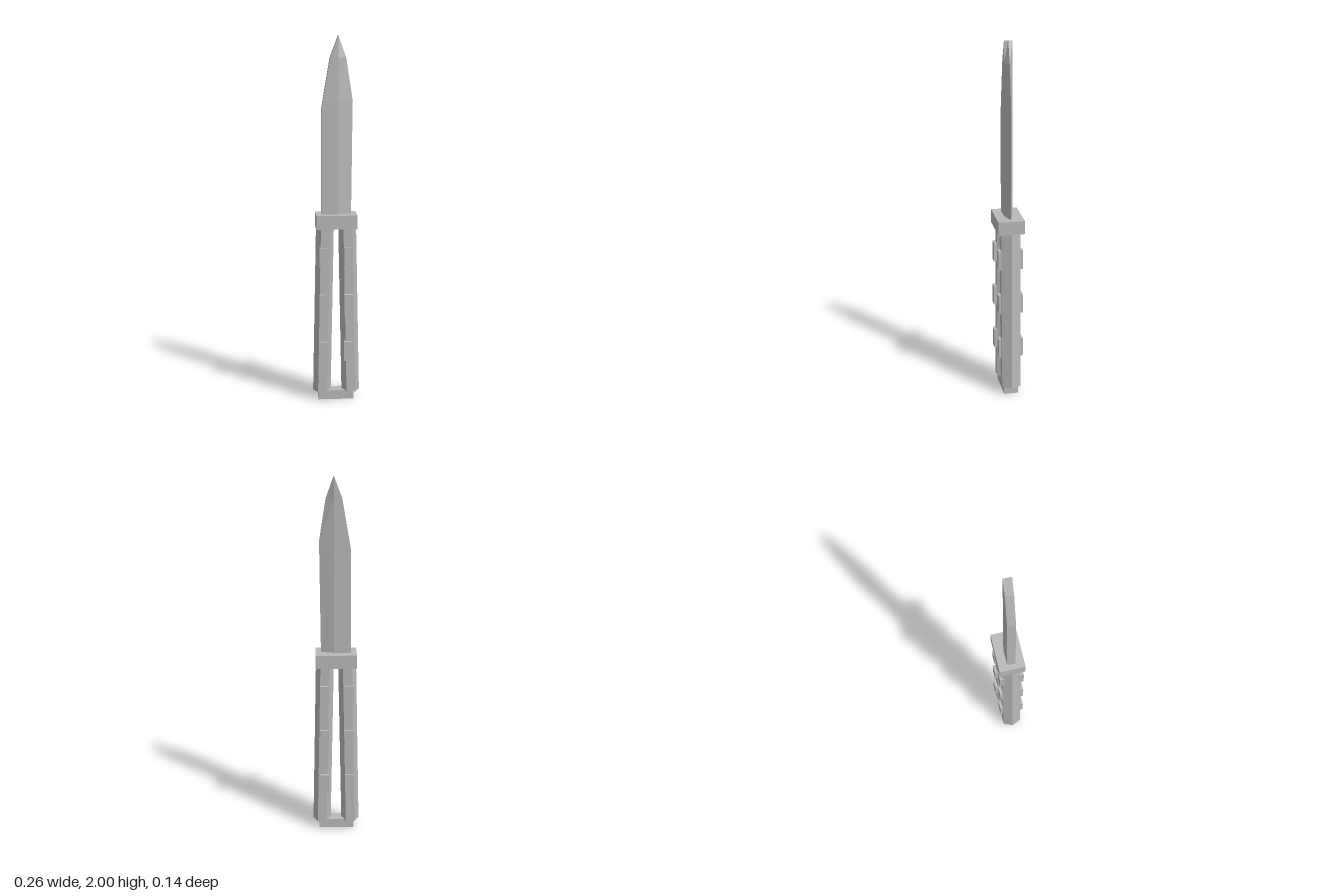
import * as THREE from 'three';

export function createModel() {
  const group = new THREE.Group();
  group.name = 'foldingKnife';
  const steel = new THREE.MeshStandardMaterial({ color: 0xb8b8b8, flatShading: true });
  steel.name = 'steel';

  const add = (name, geometry, x = 0, y = 0, z = 0) => {
    const mesh = new THREE.Mesh(geometry, steel);
    mesh.name = name;
    mesh.position.set(x, y, z);
    group.add(mesh);
    return mesh;
  };

  // Blade: flat body with a bevel running to the cutting edge
  const ridge = 0.012, half = 0.023;
  const levels = [ // height, spine x, edge x
    [1.03, -0.08, 0.082], [1.6, -0.08, 0.089], [1.65, -0.072, 0.09],
    [1.88, -0.033, 0.055], [2, ridge, ridge],
  ];
  const rings = levels.map(([y, back, edge]) => [
    [back, y, -half], [back, y, half], [ridge, y, half], [edge, y, 0], [ridge, y, -half],
  ]);
  const points = [];
  for (let k = 0; k < rings.length - 1; k++) {
    for (let i = 0; i < 5; i++) {
      const j = (i + 1) % 5;
      const [a, b, c, d] = [rings[k][i], rings[k][j], rings[k + 1][j], rings[k + 1][i]];
      points.push(...a, ...b, ...c, ...a, ...c, ...d);
    }
  }
  const blade = new THREE.BufferGeometry();
  blade.setAttribute('position', new THREE.Float32BufferAttribute(points, 3));
  blade.computeVertexNormals();
  add('blade', blade);

  // Guard and end latch
  add('guard', new THREE.BoxGeometry(0.223, 0.075, 0.144), 0, 1.0, 0);
  add('latch', new THREE.BoxGeometry(0.195, 0.05, 0.08), -0.002, 0.025, 0);

  for (const side of [-1, 1]) {
    const label = side > 0 ? 'left' : 'right';

    // Hexagonal handle, sheared so the pair spreads towards the bottom
    const bar = new THREE.CylinderGeometry(0.049, 0.049, 0.92, 6);
    bar.rotateY(Math.PI / 6);
    bar.scale(1, 1, 1.23);
    const p = bar.attributes.position;
    for (let i = 0; i < p.count; i++) {
      p.setX(i, p.getX(i) + side * (0.07 - 0.0196 * p.getY(i)));
    }
    bar.computeVertexNormals();
    add(label + 'Handle', bar, 0, 0.505, 0);

    // Grip studs on the front and back faces
    for (const y of [0.805, 0.545, 0.28]) {
      for (const face of [-1, 1]) {
        add(label + 'GripStud', new THREE.BoxGeometry(0.048, 0.108, 0.026),
          side * 0.068 - 0.004, y, face * 0.055);
      }
    }
  }
  return group;
}
